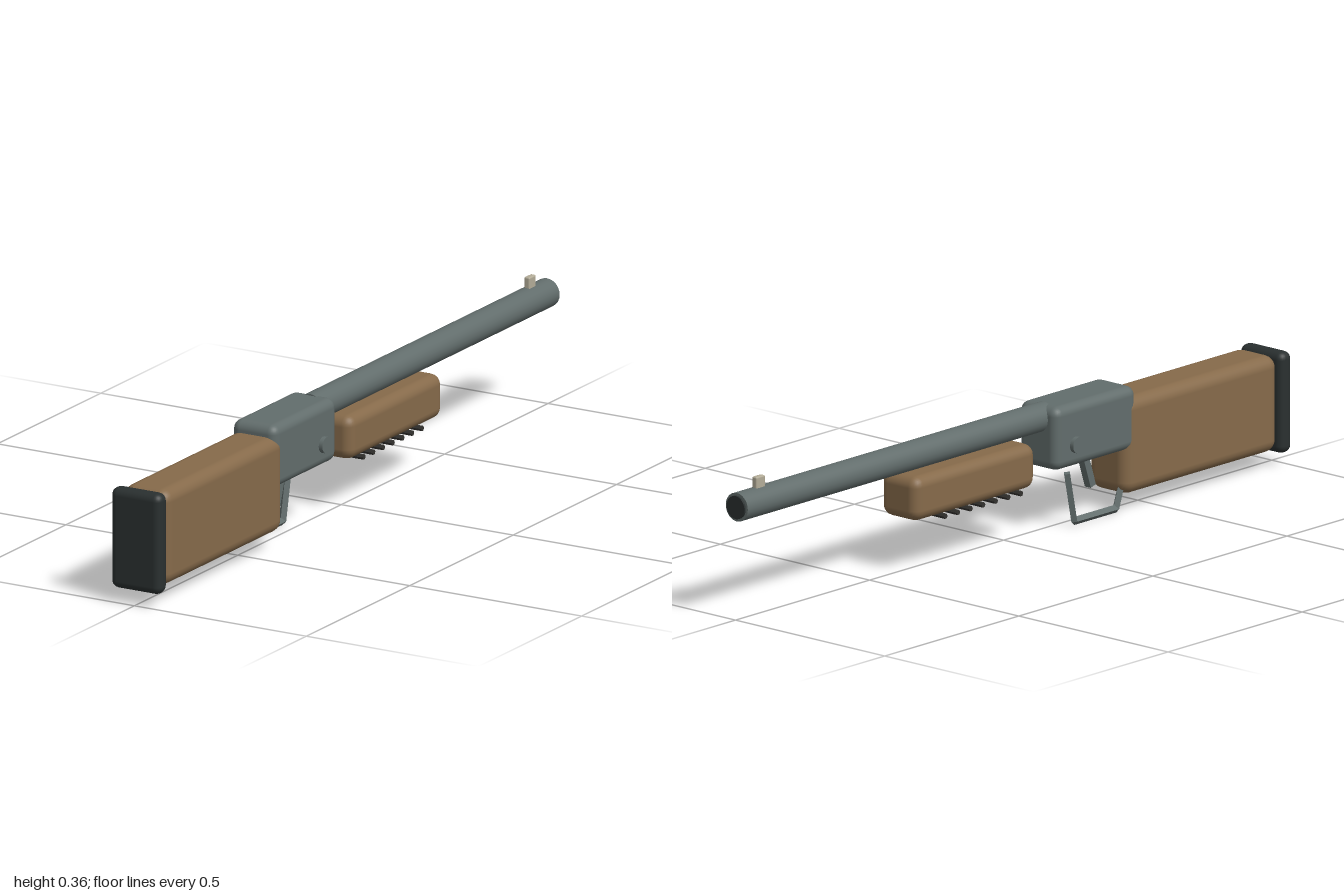
import * as THREE from 'three';
import { RoundedBoxGeometry } from 'three/addons/geometries/RoundedBoxGeometry.js';

const mat = (color, flatShading = false) => new THREE.MeshStandardMaterial({ color, flatShading });

export function createModel() {
  const model = new THREE.Group();
  const wood = mat(0x866a4a), steel = mat(0x626d6c), steelFlat = mat(0x626d6c, true);
  const dark = mat(0x2a3030), darkFlat = mat(0x33322f, true), brass = mat(0xb3ac98);

  const add = (name, geometry, material, x = 0, y = 0, z = 0) => {
    const mesh = new THREE.Mesh(geometry, material);
    mesh.name = name;
    mesh.position.set(x, y, z);
    model.add(mesh);
    return mesh;
  };

  // Rounded block given by its limits: half width, y range, z range
  const block = (name, material, halfX, y0, y1, z0, z1, radius) =>
    add(name, new RoundedBoxGeometry(halfX * 2, y1 - y0, z1 - z0, 3, radius), material,
      0, (y0 + y1) / 2, (z0 + z1) / 2);

  // Straight rod between two points
  const rod = (name, a, b, radius, sides, material) => {
    const from = new THREE.Vector3(...a), dir = new THREE.Vector3(...b).sub(from);
    const mesh = add(name, new THREE.CylinderGeometry(radius, radius, dir.length(), sides), material);
    mesh.position.copy(from).addScaledVector(dir, 0.5);
    mesh.quaternion.setFromUnitVectors(new THREE.Vector3(0, 1, 0), dir.normalize());
    return mesh;
  };

  // Body
  block('buttPad', dark, 0.073, 0.035, 0.297, 0.955, 1, 0.02);
  block('stock', wood, 0.067, 0.044, 0.294, 0.383, 0.956, 0.032);
  block('receiver', steel, 0.065, 0.16, 0.324, 0.124, 0.427, 0.024);
  block('forend', wood, 0.062, 0.135, 0.25, -0.395, 0.057, 0.028);

  // Barrel with dark bore and front sight
  rod('barrel', [0, 0.291, 0.15], [0, 0.291, -0.995], 0.037, 24, steel);
  rod('bore', [0, 0.291, -0.97], [0, 0.291, -1], 0.03, 24, dark);
  block('frontSight', brass, 0.008, 0.318, 0.356, -0.93, -0.897, 0.004);

  // Grip ribs under the forend
  for (let i = 0; i < 7; i++) {
    const z = -0.005 - i * 0.047;
    rod('gripRib', [-0.064, 0.133, z], [0.064, 0.133, z], 0.007, 6, darkFlat);
  }

  // Cross pin through the receiver
  rod('crossPin', [-0.076, 0.219, 0.196], [0.076, 0.219, 0.196], 0.021, 16, steel);

  // Trigger
  const trigger = add('trigger', new THREE.BoxGeometry(0.02, 0.08, 0.02), steel, 0, 0.113, 0.311);
  trigger.rotation.x = -0.32;

  // Trigger guard: four-sided rods, offset to one side
  const gx = -0.037;
  const path = [[gx, 0.14, 0.195], [gx, 0.0106, 0.222], [gx, 0.0106, 0.378], [gx, 0.075, 0.4]];
  for (let i = 0; i < 3; i++) rod('triggerGuard', path[i], path[i + 1], 0.0106, 4, steelFlat);
  for (const p of path.slice(1, 3))
    add('guardCorner', new THREE.OctahedronGeometry(0.0106), steelFlat, ...p);

  return model;
}
